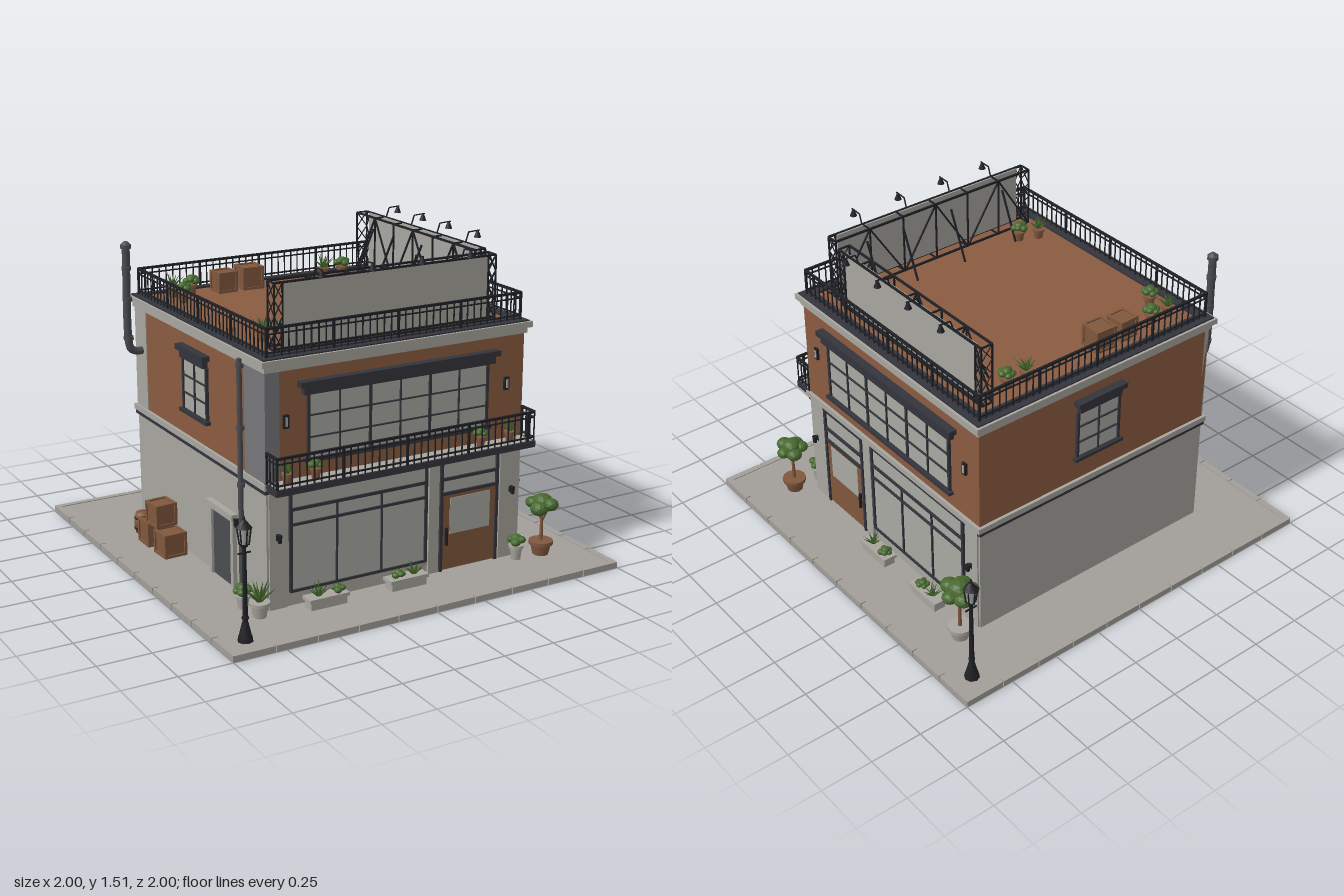
import * as THREE from 'three';
import { mergeGeometries } from 'three/addons/utils/BufferGeometryUtils.js';

const mat = (name, color) => Object.assign(new THREE.MeshStandardMaterial({ color }), { name });
const M = {
  stone: mat('stone', 0xa8a59e), paving: mat('paving', 0xa29e98), brick: mat('brick', 0x8b5c40),
  corner: mat('corner grey', 0x77777a), trim: mat('dark trim', 0x34343d), iron: mat('iron', 0x202126),
  glass: mat('glass', 0xa9a9a2), wood: mat('wood', 0x80573d), leaf: mat('leaf', 0x47692f),
  pipe: mat('pipe grey', 0x4b4c51),
};
const W = 0.665; // half width of the walls

const box = (x0, x1, y0, y1, z0, z1) =>
  new THREE.BoxGeometry(x1 - x0, y1 - y0, z1 - z0).translate((x0 + x1) / 2, (y0 + y1) / 2, (z0 + z1) / 2);
const cyl = (rt, rb, y0, y1, x = 0, z = 0, n = 12) =>
  new THREE.CylinderGeometry(rt, rb, y1 - y0, n).translate(x, (y0 + y1) / 2, z);
function beam(a, b, t = 0.007) {
  const p = new THREE.Vector3(...a), q = new THREE.Vector3(...b), d = q.clone().sub(p), l = d.length();
  const rot = new THREE.Quaternion().setFromUnitVectors(new THREE.Vector3(0, 1, 0), d.normalize());
  return new THREE.BoxGeometry(t, l, t).applyQuaternion(rot).translate(...p.add(q).multiplyScalar(0.5).toArray());
}
function part(parent, name, material, geoms) {
  const list = geoms.map((g) => (g.index ? g.toNonIndexed() : g));
  const mesh = new THREE.Mesh(mergeGeometries(list), material);
  mesh.name = name;
  parent.add(mesh);
}
function sub(parent, name, x = 0, y = 0, z = 0, ry = 0) {
  const g = new THREE.Group();
  g.name = name; g.position.set(x, y, z); g.rotation.y = ry;
  parent.add(g);
  return g;
}
// One wall's own frame: x to the viewer's right, z = 0 on the wall, z outwards
const wallFrame = (root, name, ry) => sub(root, name, Math.sin(ry) * W, 0, Math.cos(ry) * W, ry);

// Evenly divided frame: outer edges and bars at each division
function grid(x0, x1, y0, y1, cols, rows, t, z) {
  const out = [];
  for (let i = 0; i <= cols; i++) {
    const x = x0 + (x1 - x0) * i / cols, h = i % 2 ? t / 2 : t;
    out.push(box(x - h, x + h, y0, y1, 0, z));
  }
  for (let j = 0; j <= rows; j++) {
    const y = y0 + (y1 - y0) * j / rows, h = j % rows ? t / 2 : t;
    out.push(box(x0, x1, y - h, y + h, 0, z));
  }
  return out;
}
function upperWindow(f, hw, y0, y1, cols) {
  part(f, 'upperGlass', M.glass, [box(-hw, hw, y0, y1, 0, 0.006)]);
  part(f, 'upperWindowFrame', M.trim, [...grid(-hw, hw, y0, y1, cols, 3, 0.006, 0.014),
    box(-hw - 0.02, hw + 0.02, y0 - 0.012, y0 + 0.004, 0, 0.025)]);
  const e = hw > 0.3 ? 0.05 : 0.02;
  part(f, 'windowLintel', M.trim, [box(-hw - e, hw + e, y1 + 0.035, y1 + 0.06, 0, 0.04),
    box(-hw - e + 0.02, hw + e - 0.02, y1, y1 + 0.035, 0, 0.028)]);
}
function sconces(f, xs) {
  for (const x of xs) {
    part(f, 'wallSconce', M.iron, [box(x - 0.008, x + 0.008, 0.345, 0.375, 0, 0.01),
      beam([x, 0.36, 0], [x, 0.36, 0.025]), cyl(0.012, 0.009, 0.34, 0.375, x, 0.026, 8)]);
  }
}
// Shop front; s = -1 mirrors it
function shopFront(f, s) {
  const b = (x0, x1, ...r) => box(Math.min(s * x0, s * x1), Math.max(s * x0, s * x1), ...r);
  part(f, 'shopGlass', M.glass, [b(-0.55, 0.15, 0.09, 0.57, 0, 0.004), b(0.23, 0.53, 0.4, 0.57, 0, 0.004)]);
  const bars = [-0.55, -0.32, -0.09, 0.145].map((x, i) => {
    const h = i % 3 ? 0.004 : 0.007;
    return b(x - h, x + h, 0.09, i % 3 ? 0.475 : 0.575, 0, 0.012);
  });
  for (const [y, h] of [[0.094, 0.006], [0.403, 0.006], [0.473, 0.007], [0.573, 0.006]])
    bars.push(b(-0.555, 0.15, y - h, y + h, 0, 0.012));
  part(f, 'shopWindowFrame', M.trim, bars);
  part(f, 'doorFrame', M.trim, [b(0.22, 0.235, 0.025, 0.575, 0, 0.014), b(0.525, 0.54, 0.025, 0.575, 0, 0.014),
    ...[0.4, 0.47, 0.573].map((y) => b(0.22, 0.54, y - 0.007, y + 0.007, 0, 0.014))]);
  part(f, 'door', M.wood, [b(0.235, 0.525, 0.03, 0.395, 0, 0.007)]);
  part(f, 'doorPane', M.glass, [b(0.275, 0.495, 0.2, 0.375, 0.006, 0.01)]);
  part(f, 'doorHandle', M.iron, [b(0.25, 0.26, 0.15, 0.235, 0.007, 0.02)]);
  part(f, 'pilasters', M.stone, [b(-0.655, -0.57, 0.025, 0.575, 0, 0.008),
    b(0.16, 0.215, 0.025, 0.575, 0, 0.01), b(0.55, 0.655, 0.025, 0.575, 0, 0.008)]);
  sconces(f, [-0.615, 0.61]);
  for (const x of [-0.57, 0.57]) {
    part(f, 'wallLight', M.iron, [box(x - 0.013, x + 0.013, 0.845, 0.905, 0, 0.012)]);
    part(f, 'wallLightPane', M.glass, [box(x - 0.006, x + 0.006, 0.855, 0.895, 0.012, 0.015)]);
  }
}
// Straight railing run between two ground points
function railing(a, b, y0, h) {
  const n = Math.max(2, Math.round(Math.hypot(b[0] - a[0], b[1] - a[1]) / 0.036)), out = [];
  for (const [k, t] of [[0.02, 0.007], [h - 0.03, 0.006], [h - 0.005, 0.011]])
    out.push(beam([a[0], y0 + k, a[1]], [b[0], y0 + k, b[1]], t));
  for (let i = 0; i <= n; i++) {
    const x = a[0] + (b[0] - a[0]) * i / n, z = a[1] + (b[1] - a[1]) * i / n;
    out.push(beam([x, y0, z], [x, y0 + h, z], i % 9 ? 0.005 : 0.01));
  }
  return out;
}
// Roof billboard: flat panel, box truss behind, back struts, lamps on arms
function billboard(root, ry, u0, u1, lamps, struts) {
  const g = sub(root, 'billboard', 0, 0, 0, ry), zf = 0.583, zb = 0.525, y0 = 1.165, y1 = 1.457, n = 6, t = [];
  part(g, 'billboardPanel', M.stone, [box(u0 + 0.04, u1 - 0.04, y0 + 0.01, y1, zf - 0.012, zf - 0.003)]);
  for (const y of [y0 + 0.005, y1]) for (const z of [zf, zb]) t.push(beam([u0, y, z], [u1, y, z], 0.009));
  for (let i = 0; i <= n; i++) {
    const u = u0 + (u1 - u0) * i / n;
    t.push(beam([u, y0, zb], [u, y1, zb]), beam([u, y1, zb], [u, y1, zf]), beam([u, y0, zb], [u, y0, zf]));
    if (i < n) t.push(beam(i % 2 ? [u, y1, zb] : [u, y0, zb], [u + (u1 - u0) / n, i % 2 ? y0 : y1, zb]));
  }
  for (const [a, b] of [[u0, u0 + 0.04], [u1 - 0.04, u1]]) {
    t.push(beam([a, y0, zf], [a, y1, zf]), beam([b, y0, zf], [b, y1, zf]));
    for (let k = 0; k < 4; k++) {
      const p = y0 + (y1 - y0) * k / 4, q = p + (y1 - y0) / 4, e = a === u0 ? a : b;
      t.push(beam([a, p, zf], [b, q, zf], 0.004), beam([b, p, zf], [a, q, zf], 0.004),
        beam([e, p, zb], [e, q, zf], 0.004), beam([e, q, zb], [e, p, zf], 0.004));
    }
  }
  for (const u of struts) t.push(beam([u, 1.4, zb], [u, 1.16, 0.42], 0.008));
  part(g, 'billboardTruss', M.iron, t);
  part(g, 'billboardLamps', M.iron, lamps.flatMap((u) => [beam([u, y1, zf], [u, 1.505, 0.6], 0.005),
    beam([u, 1.505, 0.6], [u, 1.508, 0.66], 0.005), cyl(0.005, 0.017, 1.475, 1.507, u, 0.65, 10)]));
}
// Plants
const blob = (r, x, y, z) => {
  const g = new THREE.IcosahedronGeometry(r, 1).scale(1, 0.8, 1).translate(x, y, z);
  g.computeVertexNormals();
  return g;
};
const foliage = (r, y) => [blob(r * 0.62, 0, y + r * 0.25, 0), ...[0, 1, 2, 3, 4].map((i) =>
  blob(r * (0.42 + 0.06 * (i % 3)), Math.cos(i * 1.257) * r * 0.58, y + (i % 2) * r * 0.2, Math.sin(i * 1.257) * r * 0.58))];
function spikes(r, y) {
  return Array.from({ length: 15 }, (_, i) => {
    const l = r * (1 + 0.25 * (i % 3)), tilt = i < 9 ? 0.85 : 0.35;
    return new THREE.ConeGeometry(r * 0.13, l, 4).translate(0, l / 2, 0).rotateZ(-tilt).rotateY(i * 2.4).translate(0, y, 0);
  });
}
function plant(root, kind, x, y, z, potMat, r = 0.045, potH = 0.05) {
  const g = sub(root, kind === 'spiky' ? 'spikyPlant' : 'bushPlant', x, y, z, x * 7 + z * 3);
  if (potMat) part(g, 'pot', potMat, [cyl(r * 0.68, r * 0.5, 0, potH), cyl(r * 0.78, r * 0.78, potH * 0.8, potH)]);
  const top = potMat ? potH : 0;
  part(g, 'leaves', M.leaf, kind === 'spiky' ? spikes(r * 1.3, top) : foliage(r, top + r * 0.45));
}
function tree(root, x, z, potMat, r, y) {
  const g = sub(root, 'pottedTree', x, 0.025, z);
  part(g, 'treePot', potMat, [cyl(0.052, 0.038, 0, 0.06), cyl(0.058, 0.058, 0.05, 0.068)]);
  part(g, 'treeTrunk', M.wood, [cyl(0.006, 0.009, 0.06, y), beam([0, y - 0.08, 0], [0.04, y, 0.01]), beam([0, y - 0.07, 0], [-0.04, y, -0.01])]);
  part(g, 'treeCrown', M.leaf, foliage(r, y));
}
function crate(root, x, y, z, s, ry) {
  const g = sub(root, 'crate', x, y, z, ry), h = s / 2, e = 0.006, out = [box(-h + e, h - e, e, s - e, -h + e, h - e)];
  for (const a of [-1, 1]) for (const b of [-1, 1]) {
    const p = a * (h - e), q = b * (h - e), v = h + b * (h - e);
    out.push(beam([p, 0, q], [p, s, q], 0.013), beam([p, v, -h], [p, v, h], 0.013), beam([-h, v, p], [h, v, p], 0.013));
  }
  part(g, 'crateBoards', M.wood, out);
}
function streetLamp(root, x, z) {
  const g = sub(root, 'streetLamp', x, 0.025, z);
  part(g, 'lampPost', M.iron, [cyl(0.032, 0.035, 0, 0.02, 0, 0, 8), cyl(0.014, 0.03, 0.02, 0.085, 0, 0, 8),
    cyl(0.008, 0.012, 0.085, 0.42), cyl(0.015, 0.015, 0.1, 0.11), beam([-0.03, 0.395, 0], [0.03, 0.395, 0], 0.006),
    cyl(0.022, 0.012, 0.42, 0.435, 0, 0, 6), cyl(0.008, 0.036, 0.505, 0.54, 0, 0, 6), cyl(0.002, 0.007, 0.54, 0.56),
    ...[0, 1, 2, 3, 4, 5].map((i) => { const c = Math.sin(i * Math.PI / 3), d = Math.cos(i * Math.PI / 3);
      return beam([c * 0.02, 0.43, d * 0.02], [c * 0.03, 0.51, d * 0.03], 0.005); })]);
  part(g, 'lanternGlass', M.glass, [cyl(0.026, 0.017, 0.435, 0.505, 0, 0, 6)]);
}

export function createModel() {
  const root = new THREE.Group();
  root.name = 'cornerShop';
  // Pavement with kerb stones
  part(root, 'pavement', M.paving, [box(-0.99, 0.99, 0, 0.025, -0.99, 0.99)]);
  const kerb = [];
  for (let i = 0; i < 10; i++) for (const s of [-1, 1]) {
    const a = -1 + i * 0.2 + 0.003, b = a + 0.194, c = s * 0.985;
    kerb.push(box(a, b, 0, 0.029, c - 0.015, c + 0.015), box(c - 0.015, c + 0.015, 0, 0.029, a, b));
  }
  part(root, 'kerbStones', M.paving, kerb);
  // Walls, ledges and roof
  part(root, 'groundFloor', M.stone, [box(-W, W, 0.025, 0.58, -W, W)]);
  part(root, 'upperFloor', M.brick, [box(-W, W, 0.58, 1.11, -W, W)]);
  part(root, 'cornerPier', M.corner, [box(-W - 0.005, -0.6, 0.61, 1.1, 0.48, W + 0.005)]);
  part(root, 'backPier', M.stone, [box(-W - 0.004, -W + 0.02, 0.61, 1.1, -W, -0.54)]);
  part(root, 'ledges', M.stone, [box(-0.68, 0.68, 0.582, 0.61, -0.68, 0.68),
    box(-0.675, 0.675, 1.1, 1.128, -0.675, 0.675), box(-0.692, 0.692, 1.128, 1.155, -0.692, 0.692)]);
  part(root, 'ledgeShadowBand', M.trim, [box(-0.675, 0.672, 0.562, 0.582, -0.675, 0.672)]);
  part(root, 'roofDeck', M.brick, [box(-0.63, 0.63, 1.15, 1.158, -0.63, 0.63)]);
  const ring = [];
  for (const [r, w, y] of [[0.68, 0.035, 1.161], [0.647, 0.03, 1.168]]) for (const s of [-1, 1]) {
    const c = s * (r - w / 2);
    ring.push(box(-r, r, 1.15, y, c - w / 2, c + w / 2), box(c - w / 2, c + w / 2, 1.15, y, -r + w, r - w));
  }
  part(root, 'parapet', M.trim, ring);
  const k = 0.65, corners = [[-k, -k], [k, -k], [k, k], [-k, k]];
  part(root, 'roofRailing', M.iron, corners.flatMap((c, i) => railing(c, corners[(i + 1) % 4], 1.16, 0.13)));
  // Four elevations
  const front = wallFrame(root, 'frontWall', 0), right = wallFrame(root, 'leftHandWall', Math.PI / 2);
  const back = wallFrame(root, 'backWall', Math.PI), side = wallFrame(root, 'rightHandWall', -Math.PI / 2);
  shopFront(front, 1); shopFront(right, -1);
  for (const f of [front, right]) upperWindow(f, 0.462, 0.69, 0.985, 6);
  for (const f of [back, side]) upperWindow(f, 0.12, 0.735, 0.985, 2);
  part(side, 'sideDoorFrame', M.stone, [box(0.14, 0.165, 0.025, 0.36, 0, 0.02), box(0.355, 0.38, 0.025, 0.36, 0, 0.02),
    box(0.13, 0.39, 0.35, 0.38, 0, 0.03)]);
  part(side, 'sideDoor', M.pipe, [box(0.165, 0.355, 0.025, 0.35, 0, 0.008)]);
  sconces(side, [0.425]);
  // Downpipe and flue
  part(side, 'downpipe', M.pipe, [cyl(0.012, 0.012, 0.04, 1.12, 0.47, 0.022),
    ...[0.06, 0.3, 0.54, 0.8, 1.08].map((y) => cyl(0.018, 0.018, y, y + 0.02, 0.47, 0.02))]);
  const bend = new THREE.CatmullRomCurve3([[-0.65, 0.9], [-0.7, 0.9], [-0.727, 0.915], [-0.737, 0.95], [-0.737, 1.42]]
    .map(([x, y]) => new THREE.Vector3(x, y, -0.59)));
  part(root, 'flue', M.pipe, [new THREE.TubeGeometry(bend, 40, 0.019, 12),
    ...[[0.96, 0.024], [1.15, 0.023], [1.3, 0.023], [1.405, 0.026]].map(([y, r]) => cyl(r, r, y, y + 0.018, -0.737, -0.59)),
    cyl(0.01, 0.024, 1.423, 1.437, -0.737, -0.59)]);
  // Balcony
  part(root, 'balconyFloor', M.stone, [box(-0.665, 0.665, 0.6, 0.612, 0.66, 0.76)]);
  part(root, 'balconyBeams', M.trim, [box(-0.672, 0.672, 0.582, 0.612, 0.758, 0.77),
    box(-0.672, -0.66, 0.582, 0.612, 0.66, 0.77), box(0.66, 0.672, 0.582, 0.612, 0.66, 0.77),
    ...[-0.53, -0.28, 0, 0.28, 0.53].map((x) => beam([x, 0.59, 0.76], [x, 0.55, 0.665], 0.012))]);
  part(root, 'balconyRailing', M.iron, [...railing([-k - 0.015, 0.765], [k + 0.015, 0.765], 0.61, 0.145),
    ...[-0.665, 0.665].flatMap((x) => railing([x, 0.67], [x, 0.765], 0.61, 0.145))]);
  // Billboards
  billboard(root, 0, -0.575, 0.555, [-0.385, -0.135, 0.117, 0.37], [-0.41, -0.1, 0.18, 0.385]);
  billboard(root, Math.PI / 2, -0.46, 0.58, [-0.3, -0.06, 0.165, 0.395], [-0.3, -0.02, 0.23, 0.42]);
  // Roof and balcony plants
  const R = 1.158, B = 0.612;
  for (const [kind, x, y, z] of [['spiky', -0.53, R, -0.53], ['bush', -0.43, R, -0.53], ['bush', -0.53, R, -0.41],
    ['spiky', 0.3, R, -0.53], ['bush', 0.4, R, -0.52], ['spiky', -0.53, R, 0.39], ['bush', -0.44, R, 0.43],
    ['spiky', -0.59, B, 0.715], ['bush', -0.45, B, 0.715], ['bush', 0.405, B, 0.715], ['spiky', 0.565, B, 0.715]])
    plant(root, kind, x, y, z, M.wood, y === B ? 0.034 : 0.04);
  // Street planters and pots
  for (const [x, z, ry, s] of [[-0.41, 0.735, 0, -1], [0.003, 0.735, 0, 1], [0.735, 0.035, Math.PI / 2, -1], [0.735, -0.36, Math.PI / 2, 1]]) {
    const g = sub(root, 'planter', x, 0.025, z, ry);
    part(g, 'planterBox', M.stone, [box(-0.09, 0.09, 0, 0.04, -0.03, 0.03), box(-0.1, 0.1, 0.036, 0.052, -0.036, 0.036)]);
    plant(g, 'spiky', s * 0.04, 0.05, 0, null, 0.038);
    plant(g, 'bush', -s * 0.05 + 0.01, 0.05, 0, null, 0.034);
  }
  plant(root, 'spiky', -0.72, 0.025, 0.7, M.stone, 0.06, 0.07);
  plant(root, 'bush', -0.74, 0.025, 0.58, M.stone, 0.045, 0.06);
  plant(root, 'bush', 0.62, 0.025, 0.72, M.stone, 0.045, 0.07);
  tree(root, 0.76, 0.725, M.wood, 0.08, 0.24);
  tree(root, 0.77, -0.65, M.stone, 0.09, 0.26);
  // Crates and barrel
  crate(root, -0.755, 0.025, -0.315, 0.118, 0);
  crate(root, -0.752, 0.025, -0.14, 0.115, 0.05);
  crate(root, -0.75, 0.142, -0.24, 0.11, 0.08);
  crate(root, -0.26, R, -0.52, 0.1, 0.03);
  crate(root, -0.12, R, -0.525, 0.11, -0.05);
  const stave = [[0, 0], [0.036, 0], [0.044, 0.05], [0.036, 0.1], [0, 0.1]].map((p) => new THREE.Vector2(...p));
  part(root, 'barrel', M.wood, [new THREE.LatheGeometry(stave, 14).translate(-0.75, 0.025, -0.46)]);
  part(root, 'barrelHoops', M.iron, [0.045, 0.097].map((y) => cyl(0.0425, 0.0425, y, y + 0.008, -0.75, -0.46, 14)));
  streetLamp(root, -0.885, 0.885);
  streetLamp(root, 0.885, -0.885);
  return root;
}
